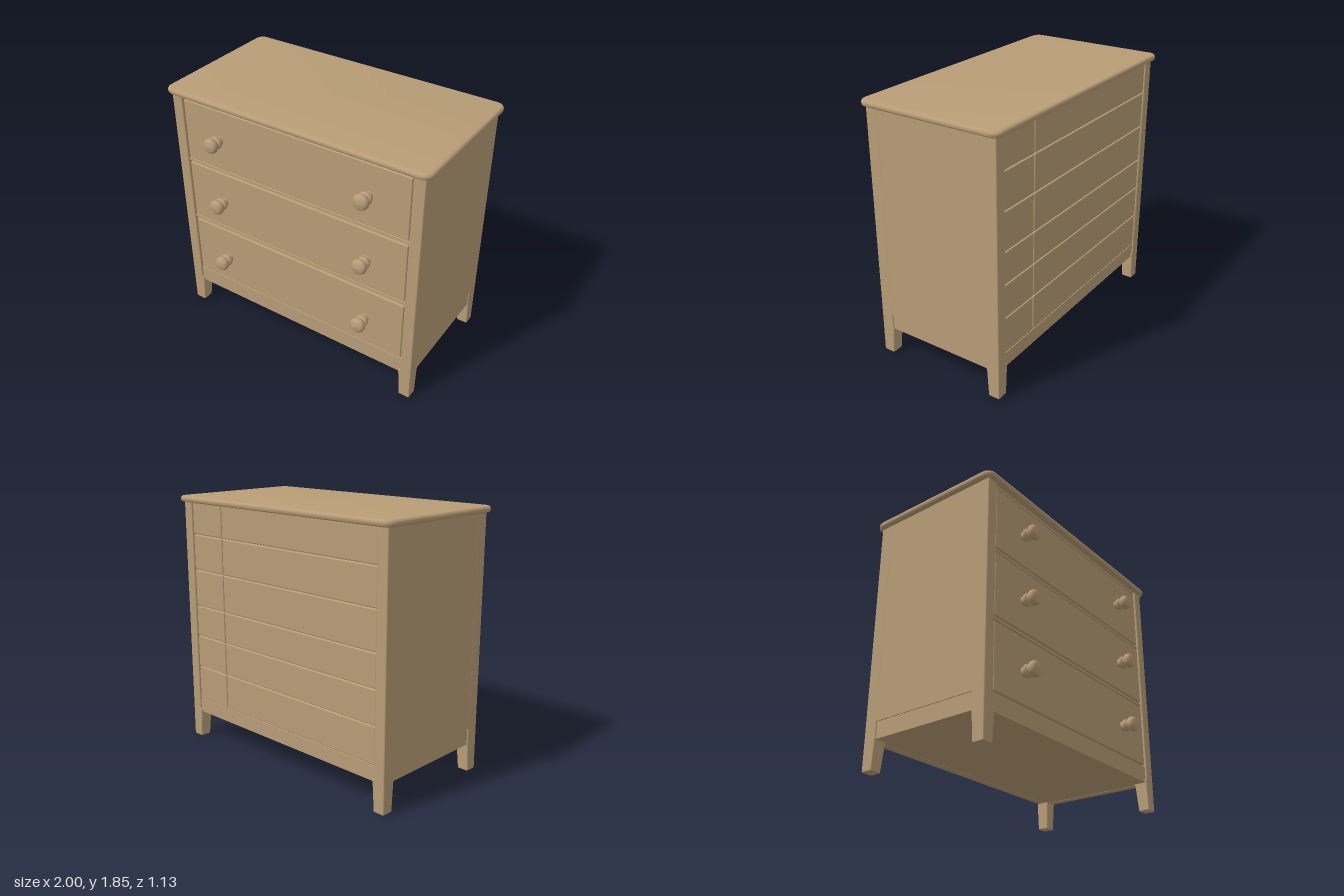
import * as THREE from 'three';
import { toCreasedNormals } from 'three/addons/utils/BufferGeometryUtils.js';
import { RoundedBoxGeometry } from 'three/addons/geometries/RoundedBoxGeometry.js';

const wood = new THREE.MeshStandardMaterial({ color: 0xb89d76 });
wood.name = 'tan wood';

export function createModel() {
  const model = new THREE.Group();
  model.name = 'chestOfDrawers';

  const add = (name, geometry) => {
    const mesh = new THREE.Mesh(geometry, wood);
    mesh.name = name;
    model.add(mesh);
    return mesh;
  };
  // Box given by its limits on each axis, optionally with softened edges
  const block = (name, [x0, x1], [y0, y1], [z0, z1], radius = 0) => {
    const size = [x1 - x0, y1 - y0, z1 - z0];
    const geometry = radius
      ? new RoundedBoxGeometry(...size, 2, radius)
      : new THREE.BoxGeometry(...size);
    geometry.translate((x0 + x1) / 2, (y0 + y1) / 2, (z0 + z1) / 2);
    return add(name, geometry);
  };

  // Table top: rounded rectangle with a rounded edge
  const bevel = 0.02, w = 1 - bevel, zBack = 0.565 - bevel, zFront = 0.49 - bevel, r = 0.045;
  const outline = new THREE.Shape();
  outline.absarc(w - r, zBack - r, r, 0, Math.PI / 2);
  outline.absarc(-w + r, zBack - r, r, Math.PI / 2, Math.PI);
  outline.absarc(-w + r, -zFront + r, r, Math.PI, Math.PI * 1.5);
  outline.absarc(w - r, -zFront + r, r, Math.PI * 1.5, Math.PI * 2);
  const topGeometry = new THREE.ExtrudeGeometry(outline, {
    depth: 0.007, bevelSize: bevel, bevelThickness: 0.019, bevelSegments: 4, curveSegments: 8,
  });
  topGeometry.rotateX(-Math.PI / 2).translate(0, 1.819, 0);
  add('top', toCreasedNormals(topGeometry, 0.7));

  // Carcass behind the drawers, planks and side panels
  block('carcass', [-0.94, 0.94], [0.205, 1.81], [-0.505, 0.425]);

  // Corner posts, side panels and side rails
  for (const side of [-1, 1]) {
    const span = (a, b) => (side > 0 ? [a, b] : [-b, -a]);
    block('sidePanel', span(0.9, 0.964), [0.32, 1.805], [-0.46, 0.39]);
    block('sideRail', span(0.9, 0.957), [0.203, 0.325], [-0.46, 0.39]);
    block('frontPost', span(0.882, 0.965), [0.2, 1.805], [0.36, 0.455], 0.008);
    block('backPost', span(0.882, 0.965), [0.2, 1.805], [-0.53, -0.43], 0.008);

    // Legs taper on their two inner faces
    for (const end of [-1, 1]) {
      const outerX = 0.965, outerZ = end > 0 ? 0.455 : 0.53;
      const leg = new RoundedBoxGeometry(0.1, 0.23, 0.1, 2, 0.008);
      const p = leg.attributes.position;
      for (let i = 0; i < p.count; i++) {
        const y = p.getY(i) + 0.115;
        const width = 0.082 + 0.015 * Math.min(y / 0.2, 1);
        const inX = 0.5 - side * p.getX(i) / 0.1;
        const inZ = 0.5 - end * p.getZ(i) / 0.1;
        p.setXYZ(i, side * (outerX - inX * width), y, end * (outerZ - inZ * width));
      }
      add(end > 0 ? 'frontLeg' : 'backLeg', leg);
    }
  }

  // Front rails between and around the drawers
  for (const [y0, y1] of [[0.203, 0.325], [0.803, 0.823], [1.291, 1.309], [1.781, 1.805]])
    block('frontRail', [-0.884, 0.884], [y0, y1], [0.38, 0.443]);

  // Turned knob profile: stem, collar and button
  const knobProfile = [
    [0.032, 0], [0.034, 0.012], [0.028, 0.02], [0.044, 0.027], [0.046, 0.038], [0.042, 0.046],
    [0.029, 0.052], [0.03, 0.06], [0.047, 0.066], [0.053, 0.078], [0.053, 0.094], [0.047, 0.107],
    [0.034, 0.115], [0, 0.119],
  ].map(([x, y]) => new THREE.Vector2(x, y));
  const knobGeometry = new THREE.LatheGeometry(knobProfile, 24);
  knobGeometry.rotateX(Math.PI / 2);

  // Drawers, each with two knobs
  for (const [y0, y1, knobY] of [[0.335, 0.79, 0.55], [0.833, 1.28, 1.05], [1.32, 1.77, 1.545]]) {
    block('drawerFront', [-0.874, 0.874], [y0, y1], [0.38, 0.447], 0.006);
    for (const x of [-0.585, 0.585])
      add('knob', knobGeometry).position.set(x, knobY, 0.445);
  }

  // Back planks, split by one upright joint, above a back rail
  const seams = [0.31, 0.57, 0.81, 1.04, 1.31, 1.57, 1.805];
  for (let i = 0; i < seams.length - 1; i++) {
    const rows = [seams[i] + 0.003, seams[i + 1] - 0.003];
    block('backPlank', [-0.88, 0.557], rows, [-0.522, -0.46], 0.007);
    block('backPlankShort', [0.563, 0.88], rows, [-0.522, -0.46], 0.007);
  }
  block('backRail', [-0.884, 0.884], [0.203, 0.308], [-0.519, -0.46]);

  return model;
}
